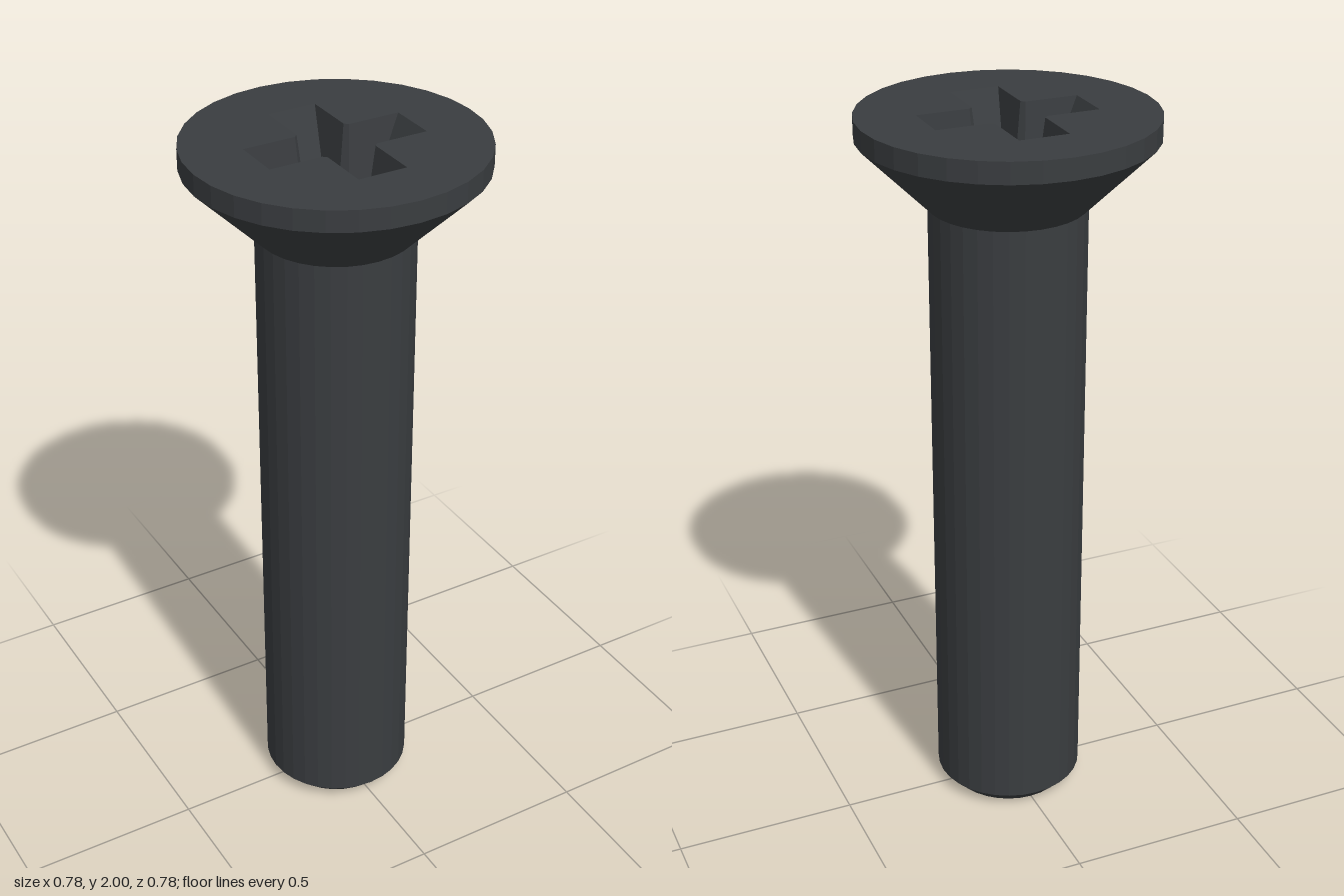
import * as THREE from 'three';

const SIDES = 32;
const TOP = 2, FLOOR = 1.8, TIP = 1.775;
const DIMPLE = 0.08;

const v2 = (x, y) => new THREE.Vector2(x, y);

// Cross outline: four arms of length l and half width w, inner corners cut back to c
function crossOutline(l, w, c) {
  const points = [];
  for (let i = 0; i < 4; i++) {
    const arm = [v2(c, -w), v2(l, -w), v2(l, w), v2(c, w)];
    arm.forEach(p => points.push(p.rotateAround(v2(0, 0), i * Math.PI / 2)));
  }
  return points;
}

// Flat upward-facing face at height y
function flatFace(shape, y) {
  return new THREE.ShapeGeometry(shape).rotateX(-Math.PI / 2).translate(0, y, 0);
}

export function createModel() {
  const group = new THREE.Group();
  const material = new THREE.MeshStandardMaterial({ color: 0x3a3d40, flatShading: true });
  const add = (name, geometry) => {
    const mesh = new THREE.Mesh(geometry, material);
    mesh.name = name;
    group.add(mesh);
    return mesh;
  };
  const lathe = pts => new THREE.LatheGeometry(pts.map(p => v2(...p)), SIDES);

  // Chamfered shank and countersunk head
  add('shank', lathe([[0, 0], [0.168, 0], [0.207, 0.04], [0.207, 1.76]]));
  add('head', lathe([[0.207, 1.76], [0.39, 1.943], [0.39, TOP]]));

  // Head face with the cross-shaped opening
  const upper = crossOutline(0.221, 0.067, 0.077);
  const lower = crossOutline(0.13, 0.045, 0.066);
  const rim = [];
  for (let i = 0; i < SIDES; i++) {
    const a = i / SIDES * Math.PI * 2;
    rim.push(v2(0.39 * Math.cos(a), 0.39 * Math.sin(a)));
  }
  const face = new THREE.Shape(rim);
  face.holes.push(new THREE.Path(upper));
  add('headFace', flatFace(face, TOP));

  // Tapered recess walls between the two outlines
  const positions = [];
  upper.forEach((a, i) => {
    const j = (i + 1) % upper.length;
    const at = [a.x, TOP, -a.y], bt = [upper[j].x, TOP, -upper[j].y];
    const al = [lower[i].x, FLOOR, -lower[i].y], bl = [lower[j].x, FLOOR, -lower[j].y];
    positions.push(...at, ...bt, ...bl, ...at, ...bl, ...al);
  });
  const walls = new THREE.BufferGeometry();
  walls.setAttribute('position', new THREE.Float32BufferAttribute(positions, 3));
  walls.computeVertexNormals();
  add('recessWalls', walls);

  // Arm floors, each ending at the round dimple
  const half = Math.asin(0.045 / DIMPLE);
  const floor = new THREE.Shape([v2(0.13, -0.045), v2(0.13, 0.045)]);
  floor.absarc(0, 0, DIMPLE, half, -half, true);
  for (let i = 0; i < 4; i++) {
    add('recessFloor', flatFace(floor, FLOOR)).rotation.y = i * Math.PI / 2;
  }

  // Shallow conical dimple in the middle
  add('recessDimple', lathe([[DIMPLE, FLOOR], [0, TIP]]));

  return group;
}
